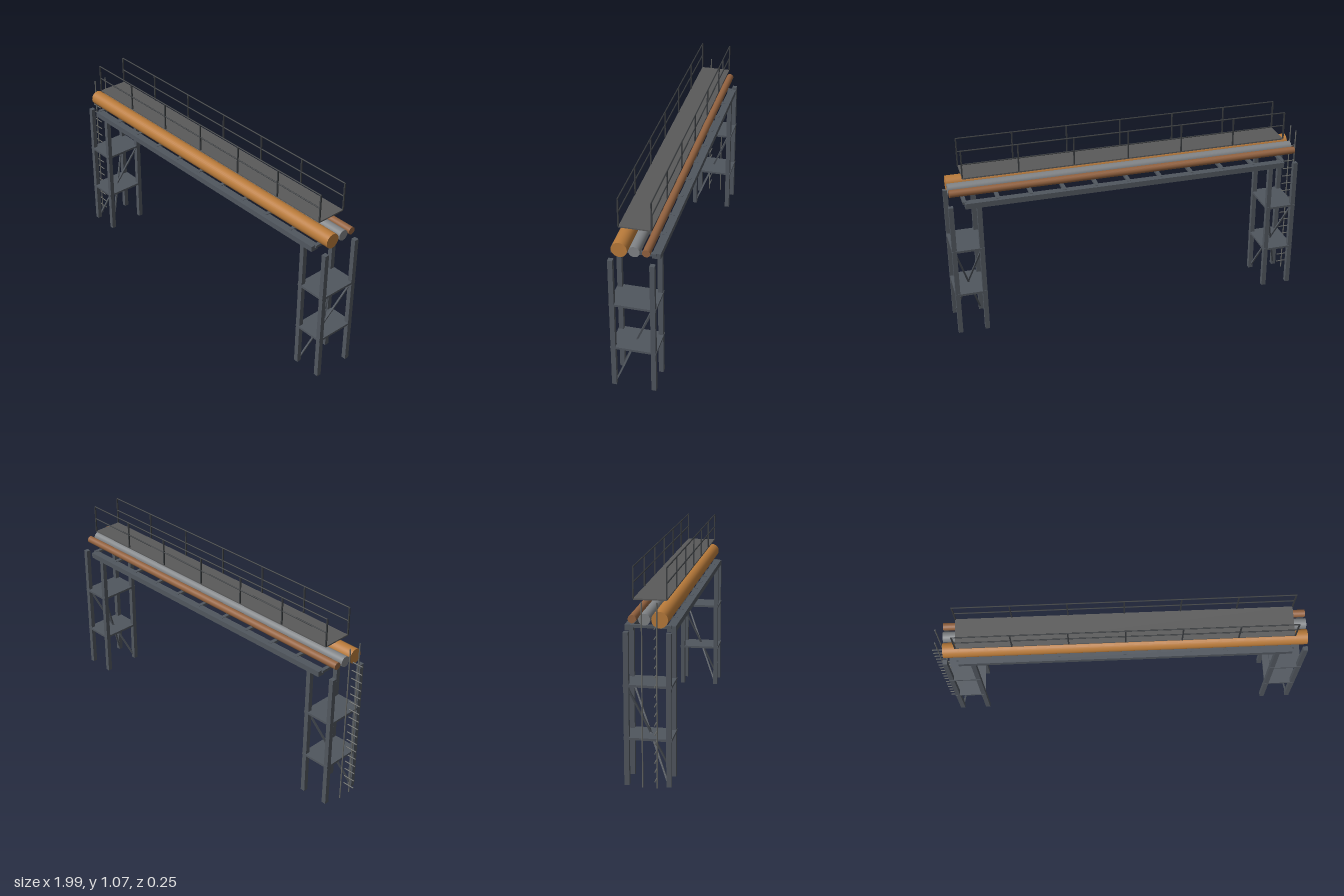
import * as THREE from 'three';

const CX = 0.0225, CZ = 0.0015; // centre of the bridge
const HALF_SPAN = 0.885;        // tower centre to bridge centre

const mat = (color) => new THREE.MeshStandardMaterial({ color });
const steel = mat(0x50565e), deckGrey = mat(0x5a5a5a), railDark = mat(0x3a3d40);
const orange = mat(0xb87a3a), pipeGrey = mat(0x808386), copper = mat(0x93623f), ladderGrey = mat(0x666866);

function add(parent, name, geometry, material, x, y, z) {
  const mesh = new THREE.Mesh(geometry, material);
  mesh.name = name;
  mesh.position.set(x, y, z);
  parent.add(mesh);
  return mesh;
}

const box = (parent, name, material, w, h, d, x, y, z) =>
  add(parent, name, new THREE.BoxGeometry(w, h, d), material, x, y, z);

// Round bar lying along x
function barX(parent, name, material, r, length, x, y, z, sides = 8) {
  const geometry = new THREE.CylinderGeometry(r, r, length, sides).rotateZ(Math.PI / 2);
  return add(parent, name, geometry, material, x, y, z);
}

// Square bar between two points
function strut(parent, name, material, size, a, b) {
  const mid = a.clone().add(b).multiplyScalar(0.5);
  const bar = box(parent, name, material, size, a.distanceTo(b), size, mid.x, mid.y, mid.z);
  bar.quaternion.setFromUnitVectors(new THREE.Vector3(0, 1, 0), b.clone().sub(a).normalize());
}

function makeTower(name, x) {
  const tower = new THREE.Group();
  tower.name = name;
  tower.position.set(x, 0, CZ);
  const lx = 0.0735, lz = 0.1035;
  for (const sx of [-1, 1]) {
    for (const sz of [-1, 1])
      box(tower, 'towerLeg', steel, 0.025, 0.765, 0.025, sx * lx, 0.3875, sz * lz);
    // Diagonals cross the inside of the tower, front foot to back top
    strut(tower, 'diagonalBrace', steel, 0.009,
      new THREE.Vector3(sx * lx, 0.005, lz), new THREE.Vector3(-sx * lx, 0.505, -lz));
  }
  for (const y of [0.242, 0.507])
    box(tower, 'towerPlatform', steel, 0.172, 0.012, 0.237, 0, y, 0);
  return tower;
}

function makeSpan() {
  const span = new THREE.Group();
  span.name = 'span';
  for (const s of [-1, 1])
    box(span, 'mainBeam', steel, HALF_SPAN * 2, 0.03, 0.042, CX, 0.772, CZ + s * 0.1035);
  const bays = 10;
  for (let i = 0; i <= bays; i++)
    box(span, 'crossTie', steel, 0.02, 0.014, 0.207, CX + HALF_SPAN * (2 * i / bays - 1), 0.782, CZ);
  return span;
}

function makePipes() {
  const pipes = new THREE.Group();
  pipes.name = 'pipes';
  const y = 0.832, length = 1.918;
  barX(pipes, 'largePipe', orange, 0.04, length, CX, y, 0.061, 32);
  barX(pipes, 'mediumPipe', pipeGrey, 0.0285, length, CX, y, -0.013, 32);
  barX(pipes, 'smallPipe', copper, 0.02, length, CX, y, -0.072, 32);
  return pipes;
}

function makeWalkway() {
  const walkway = new THREE.Group();
  walkway.name = 'walkway';
  box(walkway, 'walkwayDeck', deckGrey, HALF_SPAN * 2, 0.007, 0.163, CX, 0.912, CZ);
  for (const s of [-1, 1]) {
    const z = CZ + s * 0.0815;
    for (let i = 0; i <= 6; i++)
      box(walkway, 'railingPost', railDark, 0.007, 0.152, 0.007, CX + HALF_SPAN * (i / 3 - 1), 0.992, z);
    for (const y of [0.993, 1.068])
      barX(walkway, 'handrail', railDark, 0.0035, HALF_SPAN * 2, CX, y, z);
  }
  return walkway;
}

function makeLadder() {
  const ladder = new THREE.Group();
  ladder.name = 'ladder';
  const x = -0.967;
  for (const z of [0.052, -0.02])
    add(ladder, 'ladderRail', new THREE.CylinderGeometry(0.0035, 0.0035, 0.917, 8), ladderGrey, x, 0.4635, z);
  // Rungs stick out crosswise beside the front rail
  for (let i = 0; i <= 16; i++)
    barX(ladder, 'ladderRung', ladderGrey, 0.003, 0.066, x, 0.05 + i * 0.047, 0.046);
  return ladder;
}

export function createModel() {
  const model = new THREE.Group();
  model.name = 'pipeBridge';
  model.add(
    makeTower('rightTower', CX - HALF_SPAN),
    makeTower('leftTower', CX + HALF_SPAN),
    makeSpan(), makePipes(), makeWalkway(), makeLadder(),
  );
  return model;
}
